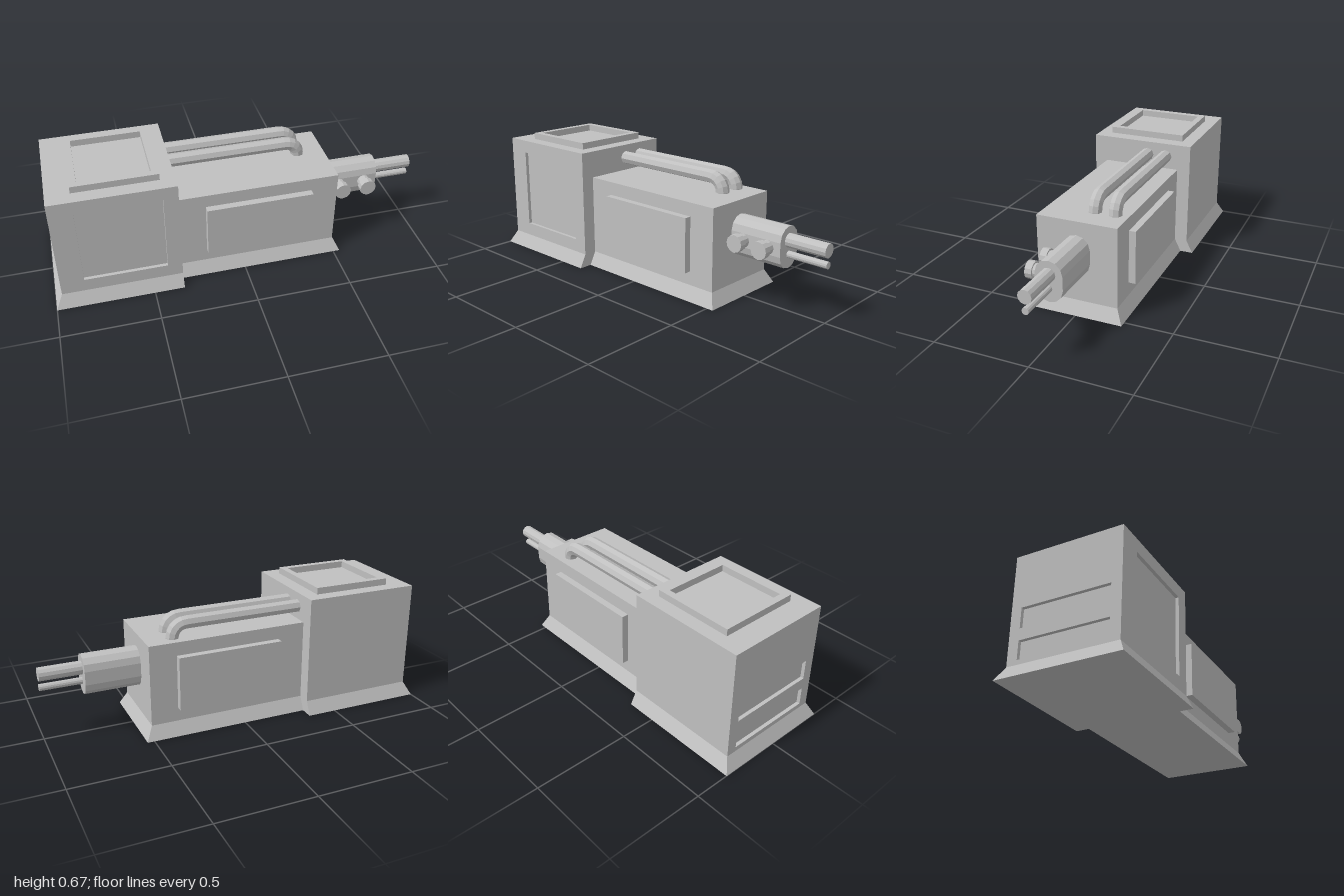
import * as THREE from 'three';

const grey = new THREE.MeshStandardMaterial({ color: 0xc0c0c0 });
grey.name = 'plain grey';

export function createModel() {
  const model = new THREE.Group();
  model.name = 'machine';

  // Faceted mesh helper
  function add(name, geometry) {
    const flat = geometry.index ? geometry.toNonIndexed() : geometry;
    flat.computeVertexNormals();
    const mesh = new THREE.Mesh(flat, grey);
    mesh.name = name;
    model.add(mesh);
    return mesh;
  }

  // Box given by its limits
  function block(name, x0, x1, y0, y1, z0, z1) {
    const g = new THREE.BoxGeometry(x1 - x0, y1 - y0, z1 - z0);
    g.translate((x0 + x1) / 2, (y0 + y1) / 2, (z0 + z1) / 2);
    return add(name, g);
  }

  // Base skirt whose lower corners spread out
  function skirt(name, x0, x1, z, flareLeft, flareRight) {
    const h = 0.071, f = 0.036;
    const g = new THREE.BoxGeometry(x1 - x0, h, 2 * z);
    g.translate((x0 + x1) / 2, h / 2, 0);
    const p = g.attributes.position;
    const mid = (x0 + x1) / 2;
    for (let i = 0; i < p.count; i++) {
      if (p.getY(i) > h / 2) continue;
      p.setX(i, p.getX(i) + (p.getX(i) < mid ? -flareLeft : flareRight) * f);
      p.setZ(i, p.getZ(i) + Math.sign(p.getZ(i)) * f);
    }
    return add(name, g);
  }

  // Plate with rectangular openings; rectangles are [x0, x1, y0, y1]
  function frame(outer, holes, depth) {
    const trace = (path, [x0, x1, y0, y1]) => {
      path.moveTo(x0, y0);
      path.lineTo(x1, y0);
      path.lineTo(x1, y1);
      path.lineTo(x0, y1);
      path.closePath();
      return path;
    };
    const shape = trace(new THREE.Shape(), outer);
    holes.forEach((h) => shape.holes.push(trace(new THREE.Path(), h)));
    return new THREE.ExtrudeGeometry(shape, { depth, bevelEnabled: false });
  }

  // Tall housing with a recessed front panel and slots in its end
  const d = 0.018;
  block('tallHousingCore', -0.965 + d, -0.345, 0.071, 0.637, -0.283, 0.283 - d);
  add('tallHousingFront', frame([-0.965, -0.345, 0.071, 0.637],
    [[-0.845, -0.42, 0.142, 0.568]], d).translate(0, 0, 0.283 - d));
  add('tallHousingVentedEnd', frame([-0.283, 0.283 - d, 0.071, 0.637],
    [[-0.23, 0.23, 0.25, 0.355], [-0.23, 0.23, 0.095, 0.19]], d)
    .rotateY(-Math.PI / 2).translate(-0.965 + d, 0, 0));
  skirt('tallHousingSkirt', -0.965, -0.345, 0.283, 1, 0);

  // Raised rim on the roof
  add('roofRim', frame([-0.845, -0.42, -0.212, 0.212],
    [[-0.81, -0.455, -0.177, 0.177]], 0.035)
    .rotateX(-Math.PI / 2).translate(0, 0.637, 0));

  // Low housing with raised side panels
  block('lowHousing', -0.345, 0.5, 0.071, 0.495, -0.212, 0.212);
  skirt('lowHousingSkirt', -0.345, 0.5, 0.212, 0, 1);
  block('leftSidePanel', -0.2, 0.358, 0.142, 0.425, 0.212, 0.248);
  block('rightSidePanel', -0.2, 0.358, 0.142, 0.425, -0.248, -0.212);

  // Bent pipes from the tall housing down into the low one
  for (const z of [-0.035, -0.141]) {
    const path = new THREE.CurvePath();
    const v = (x, y) => new THREE.Vector3(x, y, z);
    path.add(new THREE.LineCurve3(v(-0.36, 0.566), v(0.285, 0.566)));
    path.add(new THREE.CubicBezierCurve3(v(0.285, 0.566), v(0.324, 0.566),
      v(0.355, 0.535), v(0.355, 0.496)));
    path.add(new THREE.LineCurve3(v(0.355, 0.496), v(0.355, 0.475)));
    add('pipe', new THREE.TubeGeometry(path, 34, 0.035, 8, false));
  }

  // Nozzle block with an elongated twelve-sided section
  const points = [];
  for (let i = 0; i <= 6; i++) {
    const a = (i * Math.PI) / 6;
    points.push(new THREE.Vector2(0.07 * Math.cos(a), 0.354 + 0.07 * Math.sin(a)));
  }
  for (let i = 6; i <= 12; i++) {
    const a = (i * Math.PI) / 6;
    points.push(new THREE.Vector2(0.07 * Math.cos(a), 0.284 + 0.07 * Math.sin(a)));
  }
  add('nozzleBlock', new THREE.ExtrudeGeometry(new THREE.Shape(points),
    { depth: 0.285, bevelEnabled: false }).rotateY(Math.PI / 2).translate(0.5, 0, 0));

  // Rods out of the nozzle end
  for (const [y, r] of [[0.354, 0.035], [0.284, 0.0175]]) {
    add('rod', new THREE.CylinderGeometry(r, r, 0.215, 12)
      .rotateZ(Math.PI / 2).translate(0.8925, y, 0));
  }

  // Knobs on the front of the nozzle block
  for (const x of [0.571, 0.713]) {
    add('knobNeck', new THREE.CylinderGeometry(0.035, 0.035, 0.046, 12)
      .rotateX(Math.PI / 2).translate(x, 0.319, 0.083));
    add('knobHead', new THREE.CylinderGeometry(0.044, 0.044, 0.036, 12)
      .rotateX(Math.PI / 2).translate(x, 0.319, 0.124));
  }

  return model;
}
